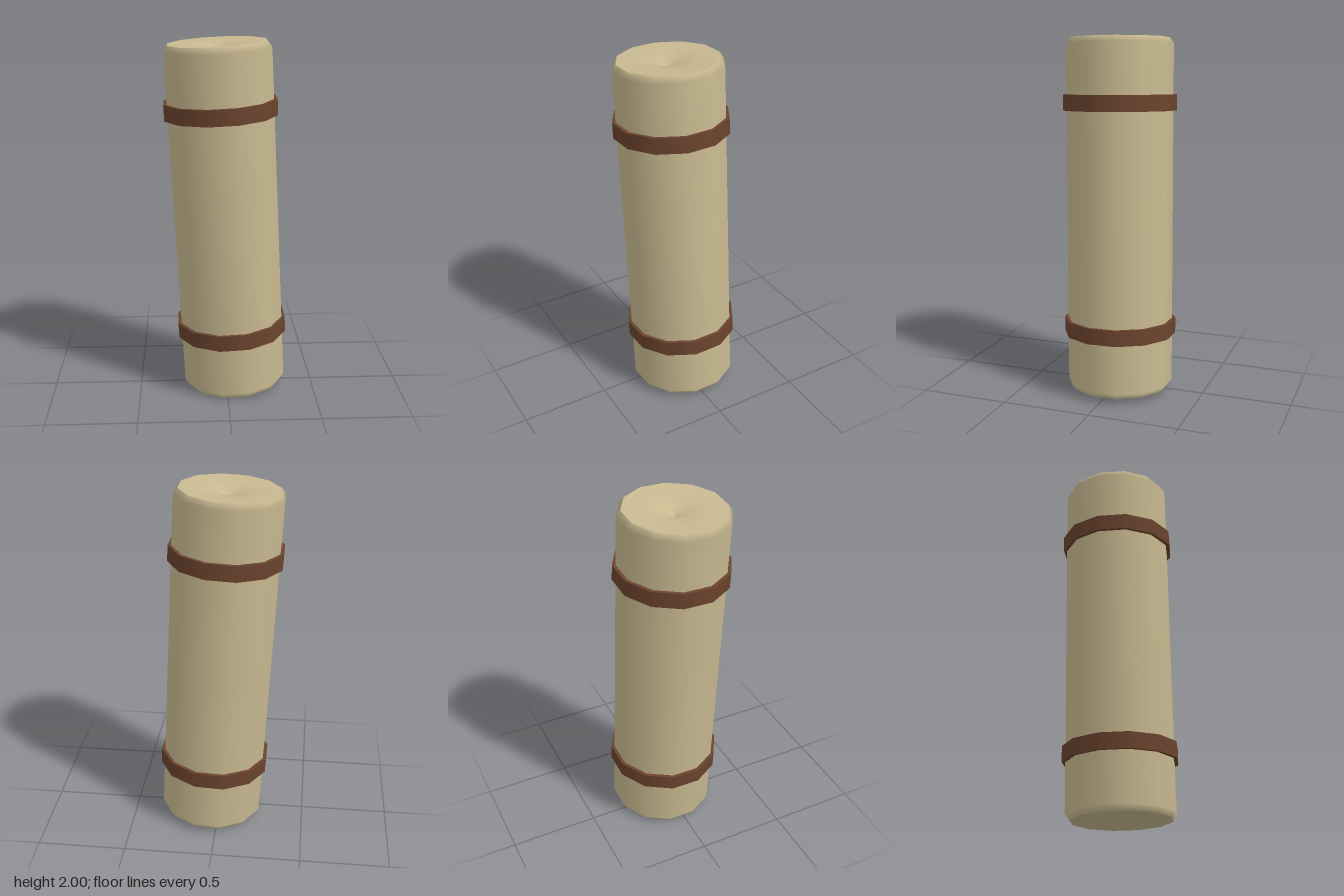
import * as THREE from 'three';

const SIDES = 12;
const HALF = 0.985; // half the roll length
const PHASE = Math.PI / SIDES; // puts a flat side towards the front

export function createModel() {
  const cloth = new THREE.MeshStandardMaterial({ color: 0xc8b990 });
  cloth.name = 'tan cloth';
  const leather = new THREE.MeshStandardMaterial({ color: 0x6b432e });
  leather.name = 'brown leather';

  const roll = new THREE.Group();
  roll.name = 'bedroll';

  const add = (name, geometry, material) => {
    const mesh = new THREE.Mesh(geometry, material);
    mesh.name = name;
    roll.add(mesh);
    return mesh;
  };
  const lathe = (points) =>
    new THREE.LatheGeometry(points.map(([r, y]) => new THREE.Vector2(r, y)), SIDES, PHASE);

  // Long side with softly bevelled ends
  add('clothRoll', lathe([
    [0.275, -HALF], [0.298, -HALF + 0.032], [0.298, HALF - 0.032], [0.275, HALF],
  ]), cloth);

  // Dimpled end faces
  const dimple = [[0.275, 0], [0.17, 0.006], [0.07, 0.018], [0, 0.055]];
  add('topEnd', lathe(dimple.map(([r, d]) => [r, HALF - d])), cloth);
  add('bottomEnd', lathe(dimple.map(([r, d]) => [r, d - HALF]).reverse()), cloth);

  // Two straps around the roll
  for (const [name, y] of [['upperStrap', 0.632], ['lowerStrap', -0.632]]) {
    const strap = new THREE.CylinderGeometry(0.317, 0.317, 0.088, SIDES, 1, false, PHASE);
    add(name, strap, leather).position.y = y;
  }

  // The whole roll leans slightly
  const axis = new THREE.Vector3(-0.05, 1, 0.02).normalize();
  roll.quaternion.setFromUnitVectors(new THREE.Vector3(0, 1, 0), axis);
  roll.position.y = 1;

  const model = new THREE.Group();
  model.name = 'leaningBedroll';
  model.add(roll);
  return model;
}
